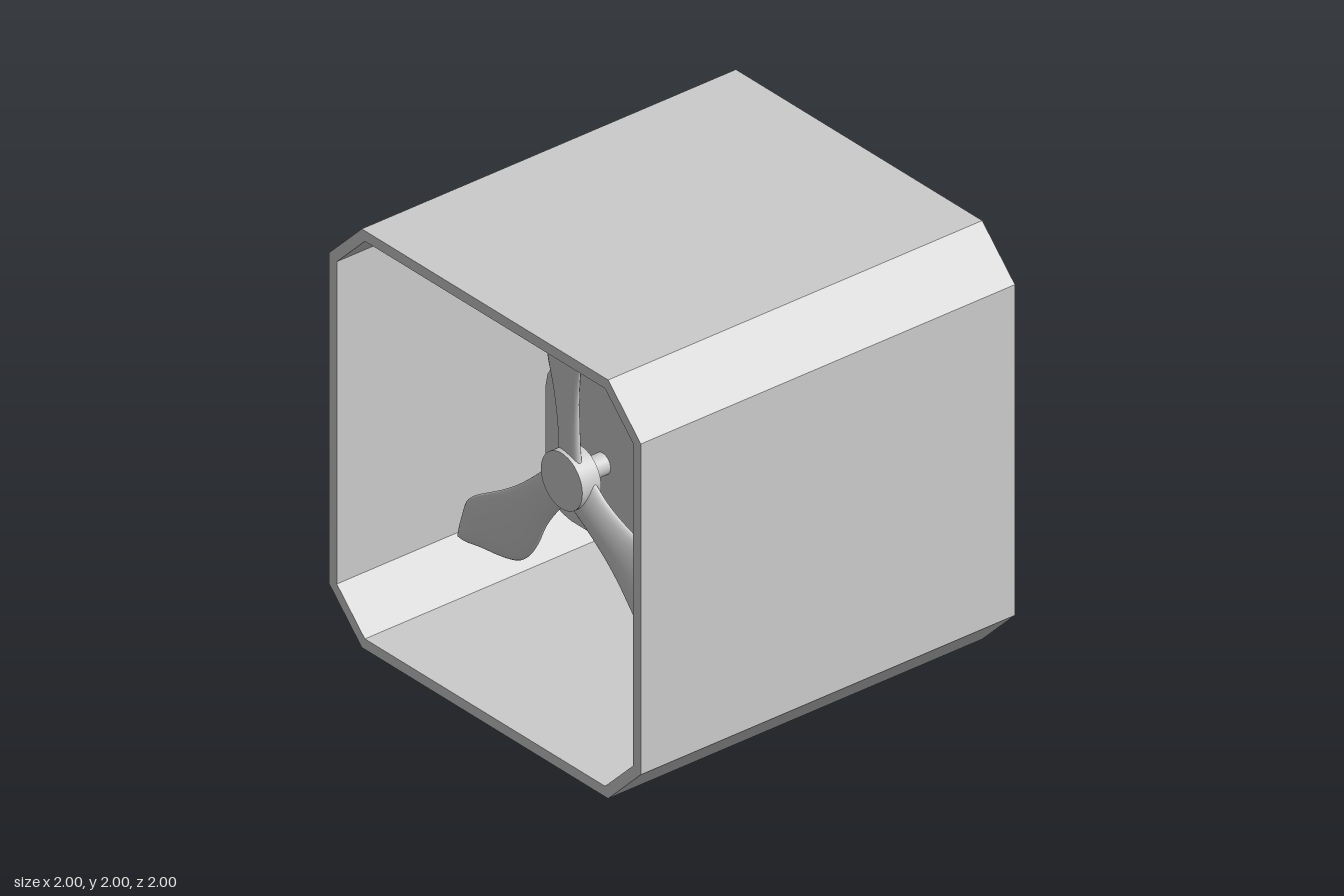
import * as THREE from 'three';

const material = new THREE.MeshStandardMaterial({ color: 0xcccccc });

function addMesh(parent, name, geometry) {
  const mesh = new THREE.Mesh(geometry, material);
  mesh.name = name;
  parent.add(mesh);
  return mesh;
}

// Square of half-width h whose corners are arcs of radius r in n segments
function squareOutline(h, r, n) {
  const points = [];
  for (let q = 0; q < 4; q++) {
    const c = Math.PI / 4 + q * Math.PI / 2;
    const cx = Math.sign(Math.cos(c)) * (h - r);
    const cy = Math.sign(Math.sin(c)) * (h - r);
    for (let i = 0; i <= n; i++) {
      const a = (q + i / n) * Math.PI / 2;
      points.push(new THREE.Vector2(cx + r * Math.cos(a), cy + r * Math.sin(a)));
    }
  }
  return points;
}

function extrudeBetween(shape, z0, z1) {
  return new THREE.ExtrudeGeometry(shape, { depth: z1 - z0, bevelEnabled: false }).translate(0, 0, z0);
}

// Twisted propeller blade lofted from lens-like sections, pointing up
function bladeGeometry() {
  // left edge, height, right edge
  const stations = [
    [-0.095, 0.06, 0.085], [-0.1, 0.2, 0.07], [-0.14, 0.36, 0.065],
    [-0.19, 0.48, 0.073], [-0.22, 0.6, 0.09], [-0.215, 0.68, 0.1],
    [-0.175, 0.76, 0.092], [-0.105, 0.85, 0.045], [-0.05, 0.93, -0.002], [-0.024, 0.955, -0.016],
  ].map((s) => new THREE.Vector3(...s));
  const curve = new THREE.CatmullRomCurve3(stations);
  const rows = 36, sides = 20, positions = [], index = [];
  for (let j = 0; j <= rows; j++) {
    const s = curve.getPoint(j / rows);
    const mid = (s.x + s.z) / 2, half = (s.z - s.x) / 2;
    const thick = Math.min(0.032 - 0.014 * s.y, half * 0.5);
    for (let i = 0; i < sides; i++) {
      const a = (i / sides) * Math.PI * 2;
      const x = mid + half * Math.cos(a);
      positions.push(x, s.y, 0.2 * x + thick * Math.sin(a));
      if (j === rows) continue;
      const p = j * sides + i, q = j * sides + (i + 1) % sides;
      index.push(p, p + sides, q, q, p + sides, q + sides);
    }
  }
  // Tip cap
  const last = rows * sides;
  for (let i = 1; i < sides - 1; i++) index.push(last, last + i + 1, last + i);
  const geometry = new THREE.BufferGeometry();
  geometry.setAttribute('position', new THREE.Float32BufferAttribute(positions, 3));
  geometry.setIndex(index);
  geometry.computeVertexNormals();
  return geometry;
}

export function createModel() {
  const model = new THREE.Group();
  model.name = 'ductedFan';
  const fan = new THREE.Group();
  fan.name = 'fan';
  fan.position.y = 1;
  model.add(fan);

  // Open octagonal duct
  const duct = new THREE.Shape(squareOutline(1, 0.21, 1));
  duct.holes.push(new THREE.Path(squareOutline(0.95, 0.18, 1).reverse()));
  addMesh(fan, 'duct', extrudeBetween(duct, -1, 1));

  // Large rear block with the motor housing in front of it
  addMesh(fan, 'rearBlock', extrudeBetween(new THREE.Shape(squareOutline(0.88, 0.39, 4)), -0.93, -0.37));
  addMesh(fan, 'motorHousing', extrudeBetween(new THREE.Shape(squareOutline(0.367, 0.163, 4)), -0.37, 0.37));

  // Propeller: shaft, hub and three blades
  const propeller = new THREE.Group();
  propeller.name = 'propeller';
  propeller.position.z = 0.54;
  fan.add(propeller);
  const shaft = addMesh(propeller, 'shaft', new THREE.CylinderGeometry(0.05, 0.05, 0.16, 24));
  shaft.rotation.x = Math.PI / 2;
  shaft.position.z = -0.11;
  const hub = addMesh(propeller, 'hub', new THREE.CylinderGeometry(0.133, 0.133, 0.1, 40));
  hub.rotation.x = Math.PI / 2;
  const blade = bladeGeometry();
  for (const angle of [0, 129, -129]) {
    addMesh(propeller, 'blade', blade).rotation.z = THREE.MathUtils.degToRad(angle);
  }
  return model;
}
